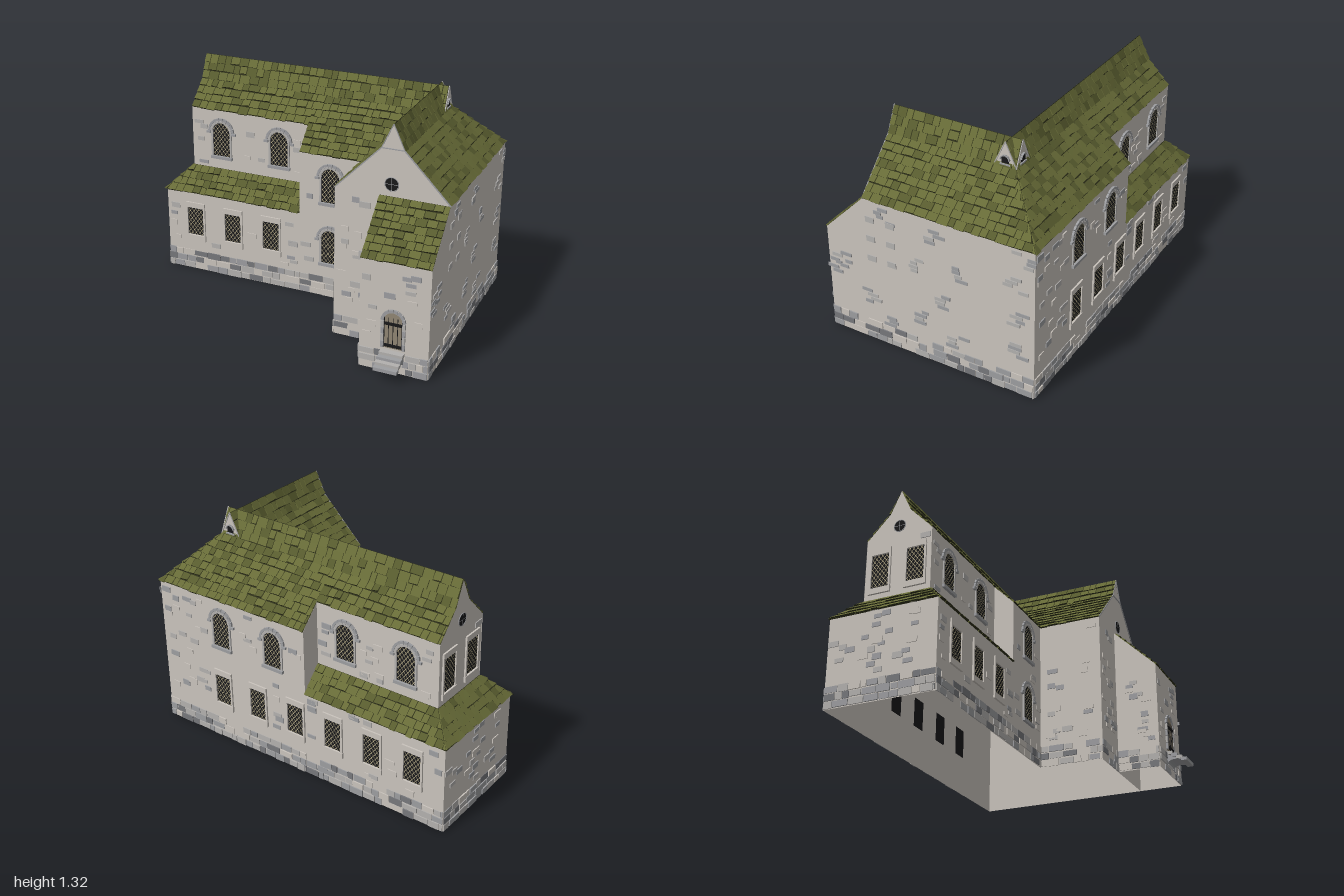
import * as THREE from 'three';
import { mergeGeometries } from 'three/addons/utils/BufferGeometryUtils.js';

const material = (name, color, side = THREE.FrontSide) => {
  const m = new THREE.MeshStandardMaterial({ color, side });
  m.name = name;
  return m;
};
const M = {
  plaster: material('plaster', 0xcac4bd, THREE.DoubleSide),
  pale: material('paleStone', 0xb3b1af),
  mid: material('midStone', 0x9d9ea1),
  dark: material('darkStone', 0x77787c),
  tile: material('roofTile', 0x676b37),
  tileAlt: material('roofTileWorn', 0x575b2e),
  gap: material('roofGap', 0x2c2e18, THREE.DoubleSide),
  pane: material('darkGlass', 0x18181a, THREE.DoubleSide),
  lead: material('lattice', 0xb8ad88),
  wood: material('doorWood', 0x918774),
};

let seed = 7;
const rnd = () => (seed = (seed * 16807) % 2147483647) / 2147483647;
const range = (a, b) => a + (b - a) * rnd();
const V = (p) => new THREE.Vector3(...p);

// Key heights: eave, kink, ridge and clerestory eave of the roofs
const E = 0.91, K = 1.18, R = 1.32, C = 1.037;

// A wall plane: local +z points outwards, local x runs to the right
class Face {
  constructor(root, name, angle, offset, outline) {
    this.group = new THREE.Group();
    this.group.name = name;
    this.group.rotation.y = angle;
    this.offset = offset;
    this.parts = {};
    this.keep = [];
    root.add(this.group);
    this.add('plaster', 'Wall', new THREE.ShapeGeometry(new THREE.Shape(outline.map((p) => new THREE.Vector2(...p)))));
  }
  add(mat, label, geo, x = 0, y = 0, z = 0, turn = 0) {
    const g = geo.index ? geo.toNonIndexed() : geo;
    g.rotateZ(turn).translate(x, y, z + this.offset);
    const key = mat + '|' + label;
    (this.parts[key] ??= []).push(g);
  }
  box(mat, label, x, y, w, h, d, turn = 0) {
    this.add(mat, label, new THREE.BoxGeometry(w, h, d), x, y, d / 2 + 0.001, turn);
  }
  // Rows of rough stones along the foot of the wall
  plinth(x0, x1) {
    for (let r = 0; r < 3; r++) {
      for (let x = x0; x < x1 - 0.005;) {
        const w = Math.min(range(0.035, 0.1), x1 - x), h = range(0.03, 0.042);
        if (rnd() > 0.1) this.box(['plaster', 'pale', 'pale', 'mid', 'mid', 'dark'][Math.floor(rnd() * 6)], 'Plinth', x + w / 2, 0.022 + r * 0.043, w - 0.005, h, range(0.003, 0.008));
        x += w;
      }
    }
    return this;
  }
  // Small groups of bricks showing through the plaster
  cluster(x, y, n = 4) {
    for (let i = 0; i < n; i++) {
      this.box(rnd() < 0.4 ? 'pale' : 'mid', 'Bricks', x + range(-0.06, 0.06), y + (i - n / 2) * 0.024, range(0.04, 0.08), 0.02, range(0.003, 0.007));
    }
  }
  scatter(x0, x1, y0, y1, count) {
    for (let i = 0; i < count; i++) {
      const x = range(x0 + 0.035, x1 - 0.035), y = range(y0, y1);
      if (this.keep.some((k) => Math.abs(x - k[0]) < 0.115 && Math.abs(y - k[1]) < 0.16)) continue;
      this.box(['plaster', 'pale', 'mid'][Math.floor(rnd() * 3)], 'Bricks', x, y, range(0.04, 0.065), range(0.02, 0.035), 0.005);
    }
    return this;
  }
  // Pane with diagonal lattice, also seen from indoors; an arched head when arch is set
  pane(x, y, w, h, arch) {
    const r = w / 2, top = arch ? h - r : h;
    const s = new THREE.Shape().moveTo(-r, 0).lineTo(r, 0).lineTo(r, top);
    if (arch) s.absarc(0, top, r, 0, Math.PI, false); else s.lineTo(-r, top);
    for (const z of [0.004, -0.003]) this.add('pane', 'Pane', new THREE.ShapeGeometry(s, 8), x, y, z);
    const inside = (u, v) => Math.abs(u) < r && v > 0 && (v < top || (arch && Math.hypot(u, v - top) < r));
    for (const dir of [1, -1]) {
      for (let c = -0.08; c < h + 0.1; c += 0.032) {
        const hits = [];
        for (let u = -r; u <= r; u += 0.003) if (inside(u, c + dir * u * 1.3)) hits.push(u);
        if (hits.length < 3) continue;
        const a = hits[0], b = hits.at(-1), m = (a + b) / 2;
        this.add('lead', 'Lattice', new THREE.PlaneGeometry((b - a) * 1.64, 0.0032), x + m, y + c + dir * m * 1.3, 0.006, Math.atan(1.3) * dir);
      }
    }
    this.keep.push([x, y + h / 2]);
  }
  hood(x, y, inner, outer, mat, n = 9) {
    for (let i = 0; i < n; i++) {
      const a = (i + 0.5) / n * Math.PI, m = (inner + outer) / 2;
      this.box(mat, 'Hood', x + Math.cos(a) * m, y + Math.sin(a) * m, outer - inner, Math.PI * m / n * 0.94, 0.012, a);
    }
  }
  archWindow(x, y) {
    this.pane(x, y, 0.112, 0.215, true);
    this.hood(x, y + 0.159, 0.057, 0.071, 'pale');
    this.hood(x, y + 0.159, 0.072, 0.086, 'mid');
    for (const s of [-1, 1]) {
      this.box('pale', 'Jamb', x + s * 0.063, y + 0.08, 0.012, 0.16, 0.008);
      this.box('mid', 'Hood', x + s * 0.085, y + 0.15, 0.026, 0.014, 0.012);
    }
    this.box('mid', 'Sill', x, y - 0.01, 0.145, 0.018, 0.016);
  }
  rectWindow(x, y, h = 0.18) {
    this.pane(x, y, 0.106, h, false);
    for (const s of [-1, 1]) this.box('plaster', 'Jamb', x + s * 0.06, y + h / 2, 0.012, h + 0.03, 0.01);
    this.box('plaster', 'Lintel', x, y + h + 0.02, 0.13, 0.035, 0.01);
    this.box('plaster', 'Sill', x, y - 0.02, 0.135, 0.035, 0.012);
  }
  roundWindow(x, y, r) {
    this.add('pane', 'Pane', new THREE.CircleGeometry(r, 20), x, y, 0.004);
    this.add('mid', 'Ring', new THREE.TorusGeometry(r, 0.0025, 5, 20), x, y, 0.004);
    for (const t of [0, Math.PI / 2]) this.add('mid', 'Bars', new THREE.PlaneGeometry(r * 2, 0.003), x, y, 0.006, t);
  }
  finish() {
    for (const [key, geos] of Object.entries(this.parts)) {
      const [mat, label] = key.split('|');
      const mesh = new THREE.Mesh(mergeGeometries(geos), M[mat]);
      mesh.name = this.group.name + label;
      this.group.add(mesh);
    }
  }
}

// One roof slope: eave a to b, upper edge d to c, covered in overlapping tiles
function roofSlope(root, name, a, b, c, d) {
  [a, b, c, d] = [a, b, c, d].map(V);
  const e = b.clone().sub(a), L = e.length();
  e.normalize();
  const da = d.clone().sub(a), lo1 = da.dot(e), hi1 = c.clone().sub(a).dot(e);
  const g = da.addScaledVector(e, -lo1), n = e.clone().cross(g).normalize();
  const at = (u, t, lift) => {
    const x = THREE.MathUtils.clamp(u, lo1 * t, L + (hi1 - L) * t);
    return a.clone().addScaledVector(g, t).addScaledVector(e, x).addScaledVector(n, lift);
  };
  const lists = { gap: [], tile: [], tileAlt: [] };
  const quad = (list, p, q, r, s) => [p, q, r, p, r, s].forEach((v) => list.push(v.x, v.y, v.z));
  quad(lists.gap, a, b, c, d);
  const rows = Math.max(2, Math.round(g.length() / 0.047));
  const start = Math.min(0, lo1), end = Math.max(L, hi1);
  for (let r = 0; r < rows; r++) {
    const t1 = (r + 0.96) / rows;
    for (let u = start - range(0, 0.04); u < end;) {
      const w = range(0.035, 0.075), u0 = u + 0.002, u1 = u + w - 0.002;
      const t0 = (r + range(-0.1, 0.12)) / rows, h = range(0.006, 0.011);
      u += w;
      const A = at(u0, t0, h), B = at(u1, t0 + range(-0.08, 0.08) / rows, h), T = at(u1, t1, 0.002), D = at(u0, t1, 0.002);
      if (A.distanceTo(B) + T.distanceTo(D) < 0.004) continue;
      const A0 = at(u0, t0, -0.002), B0 = at(u1, t0, -0.002);
      const list = lists[rnd() < 0.72 ? 'tile' : 'tileAlt'];
      quad(list, A, B, T, D);
      quad(lists.gap, A0, B0, B, A);
      quad(list, A0, A, D, D);
      quad(list, B, B0, T, T);
    }
  }
  for (const [mat, list] of Object.entries(lists)) {
    const geo = new THREE.BufferGeometry();
    geo.setAttribute('position', new THREE.Float32BufferAttribute(list, 3));
    geo.computeVertexNormals();
    const mesh = new THREE.Mesh(geo, M[mat]);
    mesh.name = name + mat[0].toUpperCase() + mat.slice(1);
    root.add(mesh);
  }
}

export function createModel() {
  const root = new THREE.Group();
  root.name = 'stoneHall';
  const FRONT = 0, RIGHT = Math.PI / 2, BACK = Math.PI, LEFT = -Math.PI / 2;
  const faces = [];
  const face = (...args) => { const f = new Face(root, ...args); faces.push(f); return f; };
  const rect = (x0, x1, y0, y1) => [[x0, y0], [x1, y0], [x1, y1], [x0, y1]];

  // Low aisles and the clerestory above them, front and back
  for (const [side, angle, s, low, high] of [['front', FRONT, 1, -0.05, -0.175], ['back', BACK, -1, 0.706, 0.585]]) {
    const span = (a, b) => (s > 0 ? [a, b] : [-b, -a]);
    const aisle = face(side + 'Aisle', angle, low, rect(...span(-0.977, -0.07), 0, 0.52));
    for (const x of [-0.78, -0.52, -0.26]) aisle.rectWindow(x * s, 0.24);
    aisle.plinth(...span(-0.977, -0.07)).scatter(...span(-0.977, -0.07), 0.16, 0.5, 45);
    const upper = face(side + 'Clerestory', angle, high, rect(...span(-0.85, -0.07), 0.62, C));
    for (const x of [-0.65, -0.26]) upper.archWindow(x * s, 0.745);
    upper.scatter(...span(-0.85, -0.07), 0.69, 1.01, 40);
  }

  // Full-height walls
  const hall = face('frontHall', FRONT, -0.05, rect(-0.07, 0.32, 0, E));
  hall.archWindow(0.13, 0.62);
  hall.archWindow(0.13, 0.225);
  hall.plinth(-0.07, 0.32).scatter(-0.07, 0.32, 0.16, 0.88, 40);
  const back = face('backHall', BACK, 0.706, rect(-0.977, 0.07, 0, E));
  for (const x of [0.52, 0.147]) back.archWindow(-x, 0.62);
  for (const x of [0.53, 0.27, 0]) back.rectWindow(-x, 0.24);
  back.plinth(-0.977, 0.07).scatter(-0.977, 0.07, 0.16, 0.88, 70);

  // Left end: low wall, gable and the two short returns
  face('leftAisle', LEFT, 0.977, rect(-0.706, -0.05, 0, 0.52)).plinth(-0.706, -0.05).scatter(-0.706, -0.05, 0.16, 0.5, 24);
  const gable = face('leftGable', LEFT, 0.847, [[-0.585, 0.62], [-0.175, 0.62], [-0.175, C], [-0.315, K], [-0.38, R], [-0.445, K], [-0.585, C]]);
  for (const z of [-0.49, -0.27]) gable.rectWindow(z, 0.73, 0.2);
  gable.roundWindow(-0.38, 1.09, 0.036);
  gable.scatter(-0.585, -0.175, 0.69, 1.02, 14);
  face('frontReturn', LEFT, 0.07, [[-0.175, 0.5], [-0.05, 0.5], [-0.05, E], [-0.175, C]]);
  face('backReturn', LEFT, 0.07, [[-0.706, 0.5], [-0.585, 0.5], [-0.585, C], [-0.706, E]]);

  // Wing
  face('wingLeft', LEFT, -0.32, rect(-0.05, 0.34, 0, E)).plinth(-0.05, 0.34).scatter(-0.05, 0.34, 0.16, 0.88, 18);
  const wing = face('wingGable', FRONT, 0.337, [[0.32, 0], [0.977, 0], [0.977, E], [0.715, K], [0.65, R], [0.585, K], [0.32, E]]);
  wing.roundWindow(0.648, 0.98, 0.039);
  wing.box('mid', 'Ledge', 0.65, K, 0.135, 0.005, 0.006);
  for (const s of [-1, 1]) {
    wing.box('mid', 'Coping', 0.65 + s * 0.1975, 1.045, 0.378, 0.007, 0.005, -s * Math.atan2(0.27, 0.265));
    wing.box('mid', 'Coping', 0.65 + s * 0.0325, 1.25, 0.154, 0.005, 0.005, -s * Math.atan2(0.14, 0.065));
  }
  wing.plinth(0.32, 0.58).scatter(0.32, 0.58, 0.16, 0.86, 22);
  const right = face('rightWall', RIGHT, 0.977, [[-0.598, 0], [0.706, 0], [0.706, E], [-0.34, E], [-0.598, 0.655]]);
  right.plinth(-0.598, 0.706);
  const patches = [[-0.13, 0.82], [-0.63, 0.86], [-0.6, 0.7], [0, 0.61], [-0.26, 0.64], [0.49, 0.49], [0.52, 0.43], [-0.13, 0.43],
    [-0.6, 0.49], [0.3, 0.3], [0, 0.28], [-0.6, 0.29], [-0.26, 0.2], [0.18, 0.16], [0.22, 0.85]];
  for (const [z, y] of patches) right.cluster(-z, y);
  for (const z of [0.3, 0.17]) for (const y of [0.545, 0.67, 0.79]) right.box('pale', 'Bricks', -z, y, 0.055, 0.035, 0.005);

  // Porch with door
  face('porchLeft', LEFT, -0.58, [[0.34, 0], [0.598, 0], [0.598, 0.655], [0.34, E]]).plinth(0.34, 0.598).scatter(0.34, 0.598, 0.16, 0.6, 12);
  const porch = face('porchFront', FRONT, 0.598, rect(0.58, 0.977, 0, 0.655));
  const door = new THREE.Shape().moveTo(-0.052, 0).lineTo(0.052, 0).lineTo(0.052, 0.165).absarc(0, 0.165, 0.052, 0, Math.PI, false);
  porch.add('wood', 'Door', new THREE.ExtrudeGeometry(door, { depth: 0.006, bevelEnabled: false }), 0.776, 0.15);
  for (const y of [0.168, 0.3]) porch.box('pane', 'Hinge', 0.776, y, 0.1, 0.016, 0.012);
  for (const x of [-0.05, -0.026, 0, 0.026, 0.05]) porch.box('pane', 'DoorSeam', 0.776 + x, 0.245, 0.003, 0.18, 0.008);
  porch.hood(0.776, 0.315, 0.053, 0.07, 'mid', 8);
  for (const s of [-1, 1]) for (let i = 0; i < 4; i++) porch.box(i % 2 ? 'pale' : 'mid', 'DoorJamb', 0.776 + s * 0.061, 0.17 + i * 0.041, 0.016, 0.038, 0.012);
  porch.keep.push([0.776, 0.27]);
  porch.plinth(0.58, 0.977).scatter(0.58, 0.977, 0.16, 0.62, 26);
  // Steps on a curved bracket
  for (let i = 0; i < 4; i++) {
    porch.add(i % 2 ? 'mid' : 'pale', 'Step', new THREE.BoxGeometry(0.135, 0.02, 0.036), 0.776, 0.124 - i * 0.016, 0.018 + i * 0.029);
  }
  const bracket = new THREE.Shape().moveTo(0.001, 0.118).lineTo(0.11, 0.068).quadraticCurveTo(0.03, 0.1, 0.001, 0.06);
  porch.add('mid', 'StepBracket', new THREE.ExtrudeGeometry(bracket, { depth: 0.125, bevelEnabled: false, curveSegments: 6 }).rotateY(-Math.PI / 2), 0.8385);

  // Small gablets where the ridges cross
  for (const [name, angle, off, u] of [['rightGablet', RIGHT, 0.712, 0.38], ['backGablet', BACK, 0.442, -0.65]]) {
    const f = face(name, angle, off, [[u - 0.066, K], [u + 0.066, K], [u, R]]);
    const hole = new THREE.Shape().moveTo(-0.023, 0).lineTo(0.023, 0).lineTo(0.023, 0.02).absarc(0, 0.02, 0.023, 0, Math.PI, false);
    f.add('pane', 'Opening', new THREE.ShapeGeometry(hole), u, 1.198, 0.004);
    f.hood(u, 1.218, 0.023, 0.028, 'mid', 7);
    f.box('mid', 'Sill', u, 1.192, 0.06, 0.008, 0.008);
    for (const s of [-1, 1]) f.box('pale', 'Coping', u + s * 0.033, 1.25, 0.154, 0.005, 0.005, -s * Math.atan2(0.14, 0.066));
  }
  faces.forEach((f) => f.finish());

  // Main roof
  const roof = (...args) => roofSlope(root, ...args);
  roof('aisleRoofFront', [-0.85, C, -0.175], [-0.07, C, -0.175], [-0.07, K, -0.315], [-0.85, K, -0.315]);
  roof('hallRoofFront', [-0.07, E, -0.05], [0.32, E, -0.05], [0.585, K, -0.315], [-0.07, K, -0.315]);
  roof('ridgeFront', [-0.85, K, -0.315], [0.71, K, -0.315], [0.71, R, -0.38], [-0.85, R, -0.38]);
  roof('hallRoofBack', [0.98, E, -0.71], [-0.07, E, -0.71], [-0.07, K, -0.445], [0.715, K, -0.445]);
  roof('aisleRoofBack', [-0.07, C, -0.585], [-0.85, C, -0.585], [-0.85, K, -0.445], [-0.07, K, -0.445]);
  roof('ridgeBack', [0.71, K, -0.445], [-0.85, K, -0.445], [-0.85, R, -0.38], [0.71, R, -0.38]);
  // Wing roof
  roof('wingRoofRight', [0.98, E, 0.34], [0.98, E, -0.71], [0.715, K, -0.445], [0.715, K, 0.34]);
  roof('wingRidgeRight', [0.715, K, 0.34], [0.715, K, -0.44], [0.65, R, -0.44], [0.65, R, 0.34]);
  roof('wingRoofLeft', [0.32, E, -0.05], [0.32, E, 0.34], [0.585, K, 0.34], [0.585, K, -0.315]);
  roof('wingRidgeLeft', [0.585, K, -0.44], [0.585, K, 0.34], [0.65, R, 0.34], [0.65, R, -0.44]);
  // Skirt roofs round the aisles, and the porch roof
  roof('skirtFront', [-0.985, 0.52, -0.047], [-0.07, 0.52, -0.047], [-0.07, 0.66, -0.175], [-0.85, 0.66, -0.175]);
  roof('skirtLeft', [-0.985, 0.52, -0.712], [-0.985, 0.52, -0.047], [-0.85, 0.66, -0.175], [-0.85, 0.66, -0.585]);
  roof('skirtBack', [-0.07, 0.52, -0.712], [-0.985, 0.52, -0.712], [-0.85, 0.66, -0.585], [-0.07, 0.66, -0.585]);
  roof('porchRoof', [0.58, 0.655, 0.6], [0.977, 0.655, 0.6], [0.977, E, 0.34], [0.58, E, 0.34]);
  return root;
}
